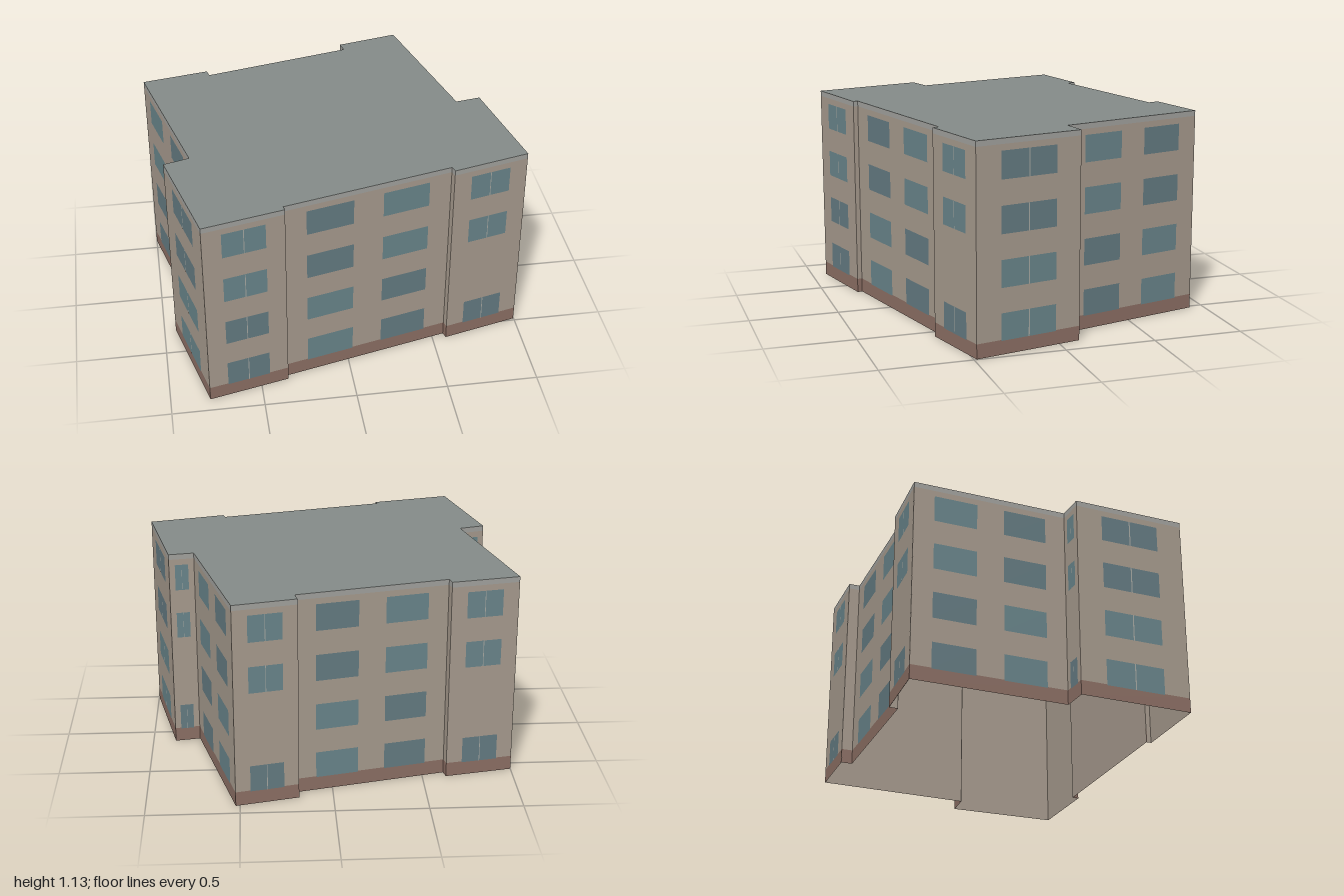
import * as THREE from 'three';
import { mergeGeometries } from 'three/addons/utils/BufferGeometryUtils.js';

const HEIGHT = 1.135, BASE_TOP = 0.08, TRIM_BOTTOM = 1.105;
const FLOOR = 0.283, SILL = 0.075, WINDOW_HEIGHT = 0.148;
const WALL_COLOR = 0xa89c8f;

// Footprint corners [x, z], clockwise seen from above, starting at the back corner on -x
const outline = [
  [-1, -0.57], [-0.631, -0.64], [-0.62, -0.594], [0.198, -0.783],
  [0.184, -0.843], [0.523, -0.92], [0.733, -0.096], [0.871, -0.12],
  [0.997, 0.485], [0.577, 0.592], [0.567, 0.557], [-0.356, 0.784],
  [-0.35, 0.811], [-0.787, 0.915], [-0.936, 0.307], [-0.797, 0.266],
];

const edges = outline.map(([x, z], i) => {
  const a = new THREE.Vector2(x, z);
  const b = new THREE.Vector2(...outline[(i + 1) % outline.length]);
  const d = b.clone().sub(a);
  return { a, b, length: d.length(), normal: new THREE.Vector2(d.y, -d.x).normalize() };
});

// Upright rectangle on a wall, from fraction t0 to t1 along it, facing outward
function panel(edge, t0, t1, y0, y1, offset) {
  const { a, b, length, normal } = edge;
  const mid = a.clone().lerp(b, (t0 + t1) / 2).addScaledVector(normal, offset);
  return new THREE.PlaneGeometry((t1 - t0) * length, y1 - y0)
    .rotateY(Math.atan2(normal.x, normal.y))
    .translate(mid.x, (y0 + y1) / 2, mid.y);
}

function addMesh(group, name, geometry, color) {
  const material = new THREE.MeshStandardMaterial({ color, side: THREE.DoubleSide });
  const mesh = new THREE.Mesh(geometry, material);
  mesh.name = name;
  group.add(mesh);
}

// Horizontal band of wall around the whole footprint
const band = (y0, y1, offset = 0) =>
  mergeGeometries(edges.map((e) => panel(e, 0, 1, y0, y1, offset)));

export function createModel() {
  const group = new THREE.Group();
  group.name = 'apartmentBlock';

  // Walls: brown plinth, beige storeys, grey roof trim, plain lining inside
  addMesh(group, 'plinth', band(0, BASE_TOP), 0x8d7065);
  addMesh(group, 'walls', band(BASE_TOP, TRIM_BOTTOM), WALL_COLOR);
  addMesh(group, 'roofTrim', band(TRIM_BOTTOM, HEIGHT), 0xa3a39f);
  addMesh(group, 'innerWalls', band(0, HEIGHT, -0.002), WALL_COLOR);

  // Flat roof
  const shape = new THREE.Shape(outline.map(([x, z]) => new THREE.Vector2(x, -z)));
  const roof = new THREE.ShapeGeometry(shape).rotateX(-Math.PI / 2).translate(0, HEIGHT, 0);
  addMesh(group, 'roof', roof, 0x858c89);

  // Windows: two columns on long walls, one divided window on shorter ones
  const glass = [[], []];
  const mullions = [];
  edges.forEach((edge, i) => {
    if (edge.length < 0.1) return;
    const long = edge.length > 0.7;
    const columns = long ? [[0.132, 0.41], [0.588, 0.867]] : [[0.235, 0.765]];
    for (let floor = 0; floor < 4; floor++) {
      // The narrow bays have no window on the second storey
      if (floor === 1 && edge.length < 0.44) continue;
      const y = SILL + floor * FLOOR;
      columns.forEach(([t0, t1], c) => {
        const tone = (i * 3 + floor * 2 + c + (floor >> 1)) % 2;
        glass[tone].push(panel(edge, t0, t1, y, y + WINDOW_HEIGHT, 0.001));
      });
      if (!long) mullions.push(panel(edge, 0.495, 0.505, y, y + WINDOW_HEIGHT, 0.002));
    }
  });
  addMesh(group, 'darkWindows', mergeGeometries(glass[0]), 0x657c83);
  addMesh(group, 'lightWindows', mergeGeometries(glass[1]), 0x6a868c);
  addMesh(group, 'windowMullions', mergeGeometries(mullions), 0xa8aaa4);

  return group;
}
